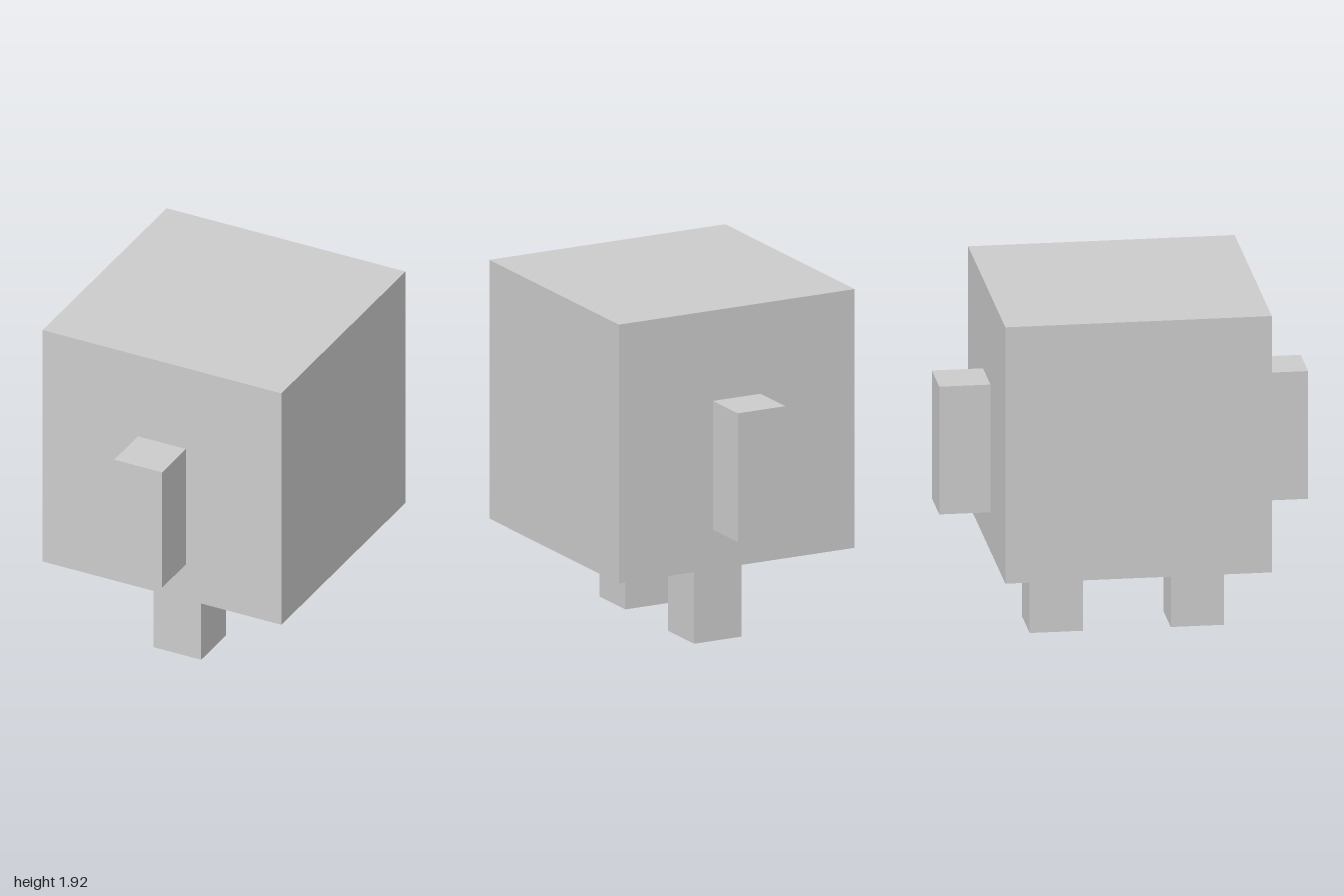
import * as THREE from 'three';

export function createModel() {
  const model = new THREE.Group();
  const material = new THREE.MeshStandardMaterial({ color: 0xcccccc, flatShading: true });

  // Adds a box whose underside centre is at (0, bottom, z)
  function addBox(name, width, height, depth, bottom, z) {
    const mesh = new THREE.Mesh(new THREE.BoxGeometry(width, height, depth), material);
    mesh.name = name;
    mesh.position.set(0, bottom + height / 2, z);
    model.add(mesh);
  }

  const limb = 0.29;

  // Cube body
  addBox('body', 1.445, 1.445, 1.445, 0.47, 0);

  // Arms on the front and back faces, slightly sunk into the body
  addBox('frontArm', limb, 0.72, limb, 0.69, 1 - limb / 2);
  addBox('backArm', limb, 0.72, limb, 0.69, -1 + limb / 2);

  // Legs, set slightly towards the front
  addBox('frontLeg', limb, 0.48, limb, 0, 0.4);
  addBox('backLeg', limb, 0.48, limb, 0, -0.365);

  return model;
}
